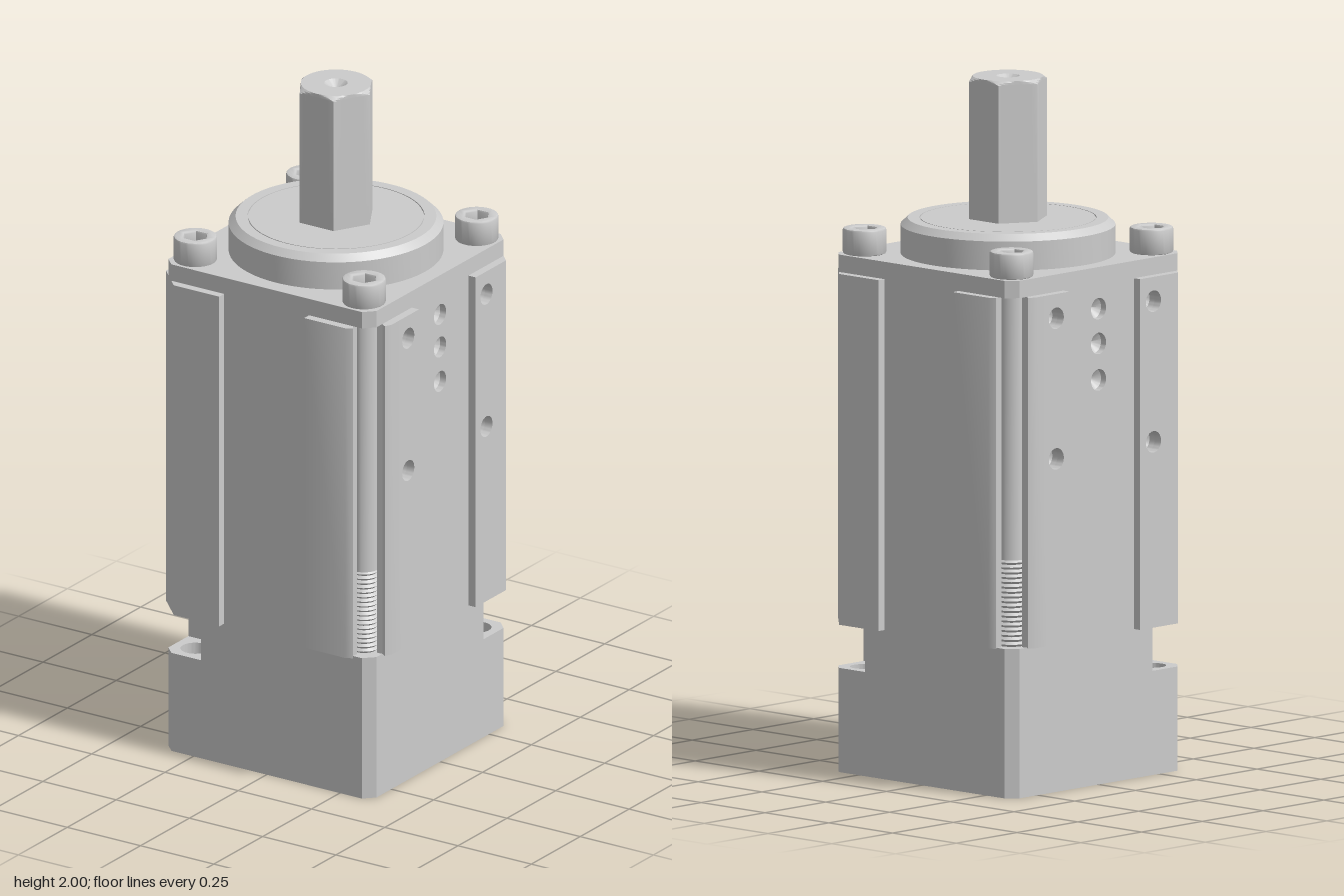
import * as THREE from 'three';
import { toCreasedNormals } from 'three/addons/utils/BufferGeometryUtils.js';

const material = new THREE.MeshStandardMaterial({ color: 0xcccccc });
const thinMaterial = new THREE.MeshStandardMaterial({ color: 0xcccccc, side: THREE.DoubleSide });

const HALF = 0.355;   // half width of the body
const FACE = 0.38;    // outer face of the raised plates
const BOLT = 0.288;   // bolt axis, in x and z
const LOW = 0.43, HIGH = 1.44, TOP = 1.49;
const SLAB = 0.235;   // half width of the drilled side inserts

const toShape = (pts) => new THREE.Shape(pts.map(([x, z]) => new THREE.Vector2(x, z)));
const turn = (pts, k) => {
  for (let i = 0; i < k; i++) pts = pts.map(([x, z]) => [-z, x]);
  return pts;
};
const arc = (r, from, to, n = 20) => Array.from({ length: n + 1 }, (_, i) => {
  const a = THREE.MathUtils.degToRad(from + (to - from) * i / n);
  return [BOLT + r * Math.cos(a), BOLT + r * Math.sin(a)];
});
const circle = (x, y, r) => new THREE.Path().absarc(x, y, r, 0, Math.PI * 2, true);

export function createModel() {
  const model = new THREE.Group();

  const add = (name, geometry, parent = model, mat = material) => {
    const mesh = new THREE.Mesh(toCreasedNormals(geometry, 0.5), mat);
    mesh.name = name;
    parent.add(mesh);
    return mesh;
  };
  // Upright prism from an outline in x and z
  const prism = (name, shape, y0, y1, options = {}) => {
    const b = options.bevelEnabled ? options.bevelThickness : 0;
    const g = new THREE.ExtrudeGeometry(shape, { depth: y1 - y0 - 2 * b, curveSegments: 24, bevelEnabled: false, ...options });
    g.rotateX(Math.PI / 2).translate(0, y1 - b, 0);
    return add(name, g);
  };
  const lathe = (pts, segments = 72) =>
    new THREE.LatheGeometry(pts.map(([r, y]) => new THREE.Vector2(r, y)), segments);

  // Body cross-sections: one outline per corner, turned round the axis
  const chamfer = [[HALF, 0.325], [0.325, HALF]];
  const pocket = [[HALF, BOLT - 0.065], ...arc(0.065, -90, -180), [BOLT - 0.065, HALF]];
  const groove = [[HALF, 0.295], ...arc(0.05, 10, -280, 32), [0.295, HALF]];
  const recess = [[HALF, -SLAB], [0.3, -SLAB], [0.3, SLAB], [HALF, SLAB]];
  const section = (even, odd, sides = []) => toShape([0, 1, 2, 3].flatMap((k) =>
    turn(k % 2 ? odd : [...sides, ...even], k)));

  const base = section(chamfer, chamfer);
  base.holes.push(circle(0, 0, 0.16), circle(BOLT, -BOLT, 0.042), circle(-BOLT, BOLT, 0.042));
  prism('baseBlock', base, 0, 0.3);
  prism('pocketedBlock', section(chamfer, pocket), 0.3, LOW);
  prism('mainBody', section(groove, chamfer, recess), LOW, HIGH);
  prism('topBlock', section(chamfer, chamfer), HIGH, TOP);

  // Raised corner plates: split at the grooved corners, wrapped round the others
  const splitSide = [[HALF, SLAB], [FACE, SLAB], [FACE, 0.285], [0.37, 0.305], [HALF, 0.295]];
  const splitFront = [[0.145, HALF], [0.295, HALF], [0.305, 0.37], [0.285, FACE], [0.145, FACE]];
  const wrap = [[HALF, 0.145], [FACE, 0.145], [FACE, 0.3], [0.3, FACE], [SLAB, FACE],
    [SLAB, HALF], [0.325, HALF], [HALF, 0.325]];
  for (const k of [0, 2]) {
    prism('sidePlateEdge', toShape(turn(splitSide, k)), LOW, HIGH);
    prism('facePlate', toShape(turn(splitFront, k)), LOW, HIGH);
    prism('cornerCover', toShape(turn(wrap, k + 1)), LOW, HIGH);
  }

  // Drilled inserts and plates on both sides
  const plateHoles = [[0.2, 1.37], [0.2, 0.965]];
  const portHoles = [[0, 1.37], [0, 1.27], [0, 1.165]];
  const mirrored = plateHoles.map(([z, y]) => [-z, y]);
  const drilled = (name, parent, z0, z1, x0, x1, holes) => {
    const shape = toShape([[z0, LOW], [z1, LOW], [z1, HIGH], [z0, HIGH]]);
    holes.forEach(([z, y]) => shape.holes.push(circle(z, y, 0.031)));
    const g = new THREE.ExtrudeGeometry(shape, { depth: x1 - x0, bevelEnabled: false, curveSegments: 16 });
    add(name, g.rotateY(Math.PI / 2).translate(x0, 0, 0), parent);
  };
  for (const angle of [0, Math.PI]) {
    const side = new THREE.Group();
    side.name = 'drilledSide';
    side.rotation.y = angle;
    model.add(side);
    drilled('sideInsert', side, -SLAB, SLAB, 0.3, HALF, [...portHoles, ...plateHoles, ...mirrored]);
    drilled('sidePlate', side, 0.145, SLAB, HALF, FACE, plateHoles);
    drilled('sidePlate', side, -SLAB, -0.145, HALF, FACE, mirrored);
    // Conical drill bottoms
    for (const [z, y] of [...portHoles, ...plateHoles, ...mirrored]) {
      const cone = new THREE.CylinderGeometry(0.031, 0.001, 0.02, 32, 1, true);
      add('drillTip', cone.rotateZ(-Math.PI / 2).translate(0.325, y, -z), side, thinMaterial);
    }
  }

  // Cap screws, with threaded shanks showing in the grooved corners
  for (let k = 0; k < 4; k++) {
    const [[x, z]] = turn([[BOLT, BOLT]], k);
    const head = new THREE.Shape().absarc(0, 0, 0.062, 0, Math.PI * 2);
    const hex = Array.from({ length: 6 }, (_, i) => {
      const a = -i * Math.PI / 3;
      return new THREE.Vector2(0.036 * Math.cos(a), 0.036 * Math.sin(a));
    });
    head.holes.push(new THREE.Path(hex));
    prism('screwHead', head, TOP, 1.565, {
      bevelEnabled: true, bevelThickness: 0.006, bevelSize: 0.006, bevelOffset: -0.006, bevelSegments: 2,
    }).position.set(x, 0, z);
    add('socketFloor', new THREE.CylinderGeometry(0.045, 0.045, 0.03, 24)).position.set(x, TOP + 0.015, z);
    if (k % 2) continue;
    add('screwShank', new THREE.CylinderGeometry(0.045, 0.045, HIGH - 0.68, 32)).position.set(x, (HIGH + 0.68) / 2, z);
    const turns = 18, thread = [[0, LOW]];
    for (let i = 0; i <= turns * 2; i++) thread.push([i % 2 ? 0.045 : 0.037, LOW + 0.25 * i / (turns * 2)]);
    add('screwThread', lathe(thread, 24)).position.set(x, 0, z);
  }

  // Round flange with a fine ring groove
  add('flange', lathe([[0.305, TOP], [0.305, 1.573], [0.285, 1.592], [0.2515, 1.592], [0.2515, 1.586],
    [0.2485, 1.586], [0.2485, 1.592], [0, 1.592]], 96));

  // Hexagonal shaft: a turned profile trimmed to six flats, with a centre drill
  const shaft = lathe([[0.12, 1.585], [0.12, 1.984], [0.115, 1.988], [0.11, 1.992], [0.105, 1.996],
    [0.1, 2], [0.033, 2], [0, 1.975]]);
  const p = shaft.attributes.position;
  for (let i = 0; i < p.count; i++) {
    const x = p.getX(i), z = p.getZ(i), r = Math.hypot(x, z);
    if (r < 0.05) continue;
    const sector = Math.PI / 3, a = Math.atan2(x, z);
    const limit = 0.1 / Math.cos(a - Math.round(a / sector) * sector);
    const s = Math.min(1, limit / r);
    p.setX(i, x * s);
    p.setZ(i, z * s);
  }
  add('hexShaft', shaft);

  return model;
}
